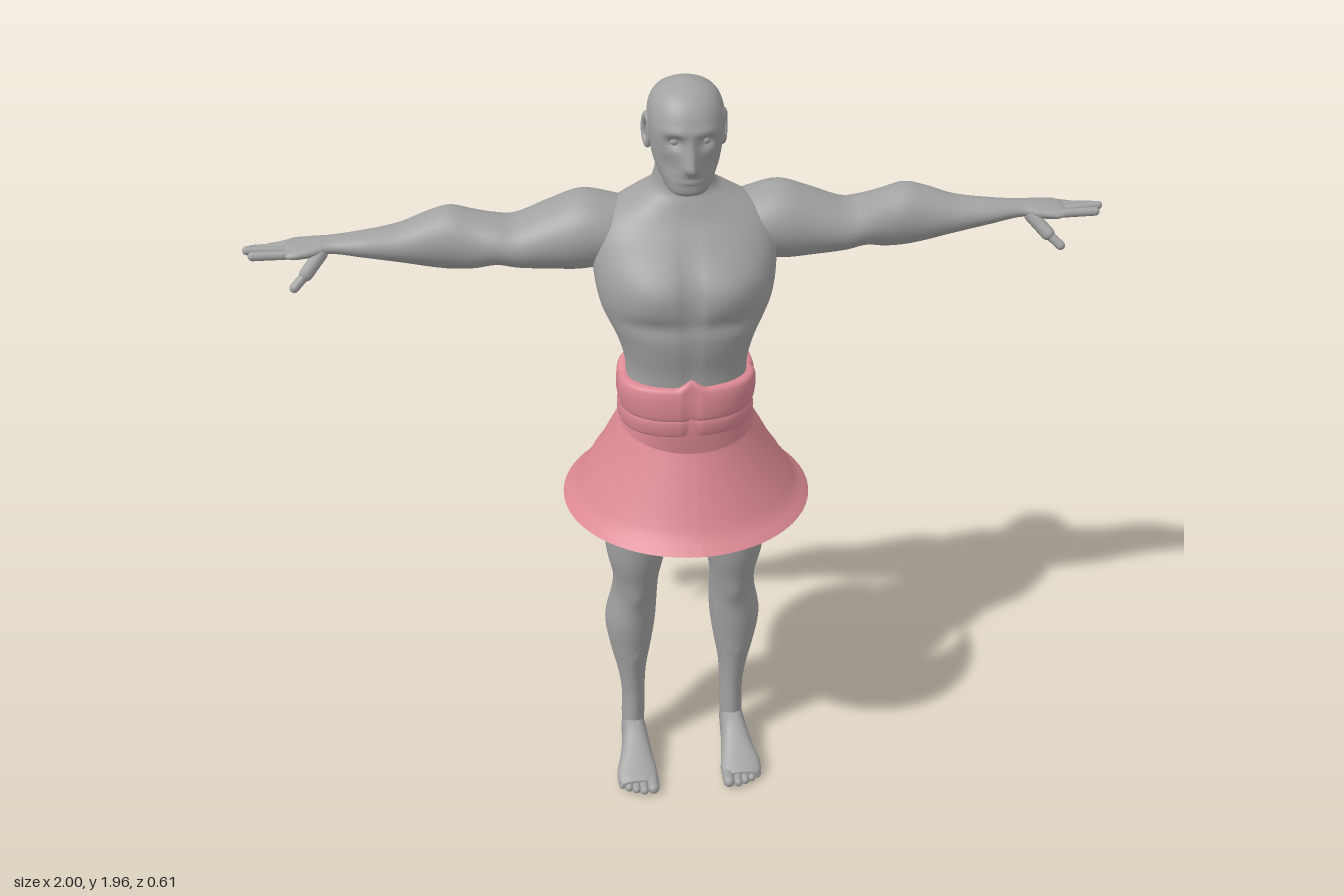
import * as THREE from 'three';

const skin = new THREE.MeshStandardMaterial({ color: 0xa2a2a2 });
skin.name = 'grey skin';
const cloth = new THREE.MeshStandardMaterial({ color: 0xdb8893, side: THREE.DoubleSide });
cloth.name = 'pink cloth';

const bump = (d, w) => Math.exp(-(d * d) / (w * w));

// Catmull-Rom blend of rows of numbers
function smoothRows(rows, steps) {
  const out = [];
  const at = i => rows[Math.max(0, Math.min(rows.length - 1, i))];
  for (let i = 0; i < rows.length - 1; i++) {
    for (let s = 0; s < steps; s++) {
      const t = s / steps;
      out.push(rows[i].map((b, c) => {
        const a = at(i - 1)[c], d = at(i + 1)[c], e = at(i + 2)[c];
        return b + 0.5 * t * (d - a + t * (2 * a - 5 * b + 4 * d - e + t * (3 * (b - d) + e - a)));
      }));
    }
  }
  out.push(rows[rows.length - 1]);
  return out;
}

// Closed loft: each row is [t, uMin, uMax, vMin, vMax]; axes gives the letters of u, v and t
function loft(rows, axes, { seg = 48, steps = 6, power = 2, side = 1, shape } = {}) {
  const rings = smoothRows(rows, steps), pos = [], idx = [], p = new THREE.Vector3();
  const put = (u, v, t) => {
    p[axes[0]] = u; p[axes[1]] = v; p[axes[2]] = t;
    if (shape) shape(p);
    pos.push(p.x * side, p.y, p.z);
  };
  const curve = c => Math.sign(c) * Math.abs(c) ** (2 / power);
  for (const [t, u0, u1, v0, v1] of rings) {
    for (let j = 0; j < seg; j++) {
      const a = (j / seg) * Math.PI * 2;
      put((u0 + u1) / 2 + (u1 - u0) / 2 * curve(Math.cos(a)),
        (v0 + v1) / 2 + (v1 - v0) / 2 * curve(Math.sin(a)), t);
    }
  }
  const n = rings.length;
  for (const [t, u0, u1, v0, v1] of [rings[0], rings[n - 1]]) put((u0 + u1) / 2, (v0 + v1) / 2, t);
  const flip = (['xyz', 'yzx', 'zxy'].includes(axes) ? 1 : -1) * side < 0;
  const tri = (a, b, c) => flip ? idx.push(a, c, b) : idx.push(a, b, c);
  for (let j = 0; j < seg; j++) {
    const k = (j + 1) % seg;
    for (let i = 0; i < n - 1; i++) {
      const a = i * seg + j, b = i * seg + k;
      tri(a, b, b + seg);
      tri(a, b + seg, a + seg);
    }
    tri(n * seg, k, j);
    tri(n * seg + 1, (n - 1) * seg + j, (n - 1) * seg + k);
  }
  const g = new THREE.BufferGeometry();
  g.setAttribute('position', new THREE.Float32BufferAttribute(pos, 3));
  g.setIndex(idx);
  g.computeVertexNormals();
  return g;
}

// Rows that are symmetric about x = 0: [y, halfWidth, back, front]
const sym = rows => rows.map(([y, h, b, f]) => [y, -h, h, b, f]);

export function createModel() {
  const model = new THREE.Group();
  const add = (name, geo, mat = skin) => {
    const m = new THREE.Mesh(geo, mat);
    m.name = name;
    model.add(m);
    return m;
  };
  // Rounded digit between two points
  const digit = (name, a, b, r, side) => {
    const A = new THREE.Vector3(a[0] * side, a[1], a[2]), B = new THREE.Vector3(b[0] * side, b[1], b[2]);
    const m = add(name, new THREE.CapsuleGeometry(r, A.distanceTo(B), 5, 10));
    m.position.copy(A).add(B).multiplyScalar(0.5);
    m.quaternion.setFromUnitVectors(new THREE.Vector3(0, 1, 0), B.sub(A).normalize());
  };

  // Torso and neck, with chest, midline, spine and shoulder blade relief
  add('torso', loft(sym([
    [1.20, .145, -.09, .10], [1.27, .145, -.10, .105], [1.34, .163, -.125, .12], [1.42, .198, -.15, .127],
    [1.50, .212, -.165, .118], [1.58, .212, -.172, .075], [1.63, .18, -.168, .043], [1.67, .115, -.15, .025],
    [1.70, .076, -.12, .015], [1.75, .063, -.10, .022], [1.80, .058, -.09, .03],
  ]), 'xzy', { seg: 64, power: 2.25, shape: p => {
    const ax = Math.abs(p.x), y = p.y;
    if (p.z > 0) {
      p.z += .016 * bump(ax - .085, .07) * bump(y - 1.49, .06);
      p.z -= .012 * bump(ax, .014) * bump(y - 1.48, .1) + .01 * bump(y - 1.405, .02) * bump(ax - .09, .09);
      p.z -= .005 * bump(ax, .012) * bump(y - 1.3, .09);
    } else {
      p.z += .024 * bump(ax, .03) * bump(y - 1.42, .17);
      p.z -= .01 * bump(ax - .11, .05) * bump(y - 1.54, .07);
    }
  } }));

  // Head, with eye sockets, brow, nose, lips and chin
  add('head', loft(sym([
    [1.712, .032, .02, .075], [1.722, .046, -.01, .088], [1.745, .06, -.06, .092], [1.78, .074, -.09, .094],
    [1.82, .081, -.106, .096], [1.86, .085, -.113, .1], [1.90, .082, -.108, .088], [1.93, .066, -.085, .065],
    [1.948, .038, -.05, .034], [1.957, .008, -.018, .002],
  ]), 'xzy', { seg: 80, power: 2.2, shape: p => {
    if (p.z < .02) return;
    const ax = Math.abs(p.x), y = p.y, t = (1.858 - y) / .075;
    const nose = t < 0 ? 0 : t < 1 ? t : Math.max(0, 1 - (t - 1) * 5);
    p.z += .028 * nose * bump(ax, .009 + .006 * Math.min(1, Math.max(0, t)));
    p.z -= .017 * bump(ax - .034, .018) * bump(y - 1.843, .014);
    p.z += .005 * bump(ax - .035, .03) * bump(y - 1.866, .009);
    p.z -= .008 * bump(ax - .05, .02) * bump(y - 1.785, .025);
    p.z += bump(ax, .024) * (.006 * bump(y - 1.766, .006) + .005 * bump(y - 1.752, .005) - .004 * bump(y - 1.759, .003));
  } }));

  for (const side of [1, -1]) {
    const tag = side > 0 ? 'left' : 'right';

    // Eyes and ears
    const eye = add(tag + 'Eye', new THREE.SphereGeometry(.012, 16, 12));
    eye.position.set(.034 * side, 1.843, .07);
    const ear = add(tag + 'Ear', new THREE.TorusGeometry(.022, .008, 10, 24));
    ear.scale.set(.75, 1.45, .9);
    ear.rotation.set(0, side * 1.25, 0);
    ear.position.set(.085 * side, 1.838, -.015);
    const lobe = add(tag + 'EarInner', new THREE.SphereGeometry(.02, 14, 10));
    lobe.scale.set(.35, 1.4, .8);
    lobe.position.set(.081 * side, 1.836, -.013);

    // Arm from shoulder to palm
    add(tag + 'Arm', loft([
      [.08, 1.54, 1.63, -.14, -.02], [.16, 1.50, 1.655, -.17, .01], [.23, 1.485, 1.668, -.178, .015],
      [.30, 1.487, 1.645, -.175, .008], [.38, 1.495, 1.614, -.167, 0], [.43, 1.503, 1.617, -.162, -.008],
      [.48, 1.493, 1.628, -.164, -.018], [.53, 1.491, 1.64, -.165, -.025], [.58, 1.5, 1.629, -.158, -.028],
      [.65, 1.52, 1.607, -.138, -.03], [.73, 1.54, 1.598, -.116, -.033], [.80, 1.553, 1.591, -.107, -.042],
      [.84, 1.55, 1.588, -.115, -.032], [.885, 1.55, 1.583, -.122, -.024], [.905, 1.556, 1.578, -.115, -.03],
    ], 'yzx', { side, seg: 40 }));

    // Fingers and thumb
    [[-.112, .955, 1.552], [-.088, .981, 1.563], [-.062, .989, 1.573], [-.036, .975, 1.57]].forEach(([z, x, y], i) =>
      digit(tag + 'Finger' + (i + 1), [.885, 1.567, z * .85 - .01], [x, y, z], .0105, side));
    digit(tag + 'ThumbBase', [.825, 1.562, -.05], [.86, 1.527, -.02], .016, side);
    digit(tag + 'ThumbTip', [.86, 1.527, -.02], [.888, 1.503, -.002], .011, side);

    // Leg from thigh to ankle
    add(tag + 'Leg', loft([
      [.04, .112, .162, -.135, -.05], [.10, .105, .166, -.139, -.045], [.20, .103, .165, -.138, -.042],
      [.28, .098, .176, -.15, -.032], [.36, .085, .193, -.163, -.018], [.45, .073, .204, -.166, -.002],
      [.55, .069, .187, -.14, .012], [.62, .066, .184, -.117, .034], [.70, .05, .199, -.125, .058],
      [.80, .031, .208, -.136, .072], [.90, .022, .21, -.142, .08], [.97, .025, .195, -.15, .075],
    ], 'xzy', { side, shape: p => {
      if (p.z > -.02) p.z += .008 * bump(p.x - .125, .03) * bump(p.y - .57, .035);
      else p.z += .006 * bump(p.x - .135, .015) * bump(p.y - .42, .08);
    } }));

    // Foot and toes
    add(tag + 'Foot', loft([
      [-.15, .128, .145, .015, .035], [-.137, .112, .16, .004, .075], [-.09, .105, .168, 0, .115],
      [-.03, .1, .172, 0, .112], [.02, .094, .182, 0, .083], [.06, .088, .194, 0, .058],
      [.09, .088, .193, .002, .042], [.105, .096, .183, .006, .032],
    ], 'xyz', { side, seg: 36, power: 2.4 }));
    [[.102, .12, .016], [.127, .122, .012], [.147, .115, .0115], [.166, .106, .011], [.183, .094, .0105]].forEach(
      ([x, z, r], i) => digit(tag + 'Toe' + (i + 1), [x, .022, .07], [x, r + .002, z], r, side));

    // Short leg with a ragged hem
    add(tag + 'ShortLeg', loft([
      [.885, .018, .217, -.15, .088], [.92, .012, .215, -.158, .09], [.97, .006, .205, -.172, .09],
      [1.03, .01, .185, -.17, .085],
    ], 'xzy', { side, shape: p => {
      if (p.y < .91) p.y += .013 * Math.sin(Math.atan2(p.z + .03, p.x - .115) * 5 + side);
    } }), cloth);
  }

  // Seat of the shorts
  add('shortsSeat', loft(sym([
    [.95, .13, -.12, .05], [.975, .178, -.165, .08], [1.02, .185, -.185, .097], [1.08, .168, -.18, .106],
    [1.13, .156, -.155, .11], [1.16, .15, -.13, .108],
  ]), 'xzy', { power: 2.3, shape: p => {
    if (p.z < 0) p.z += .025 * bump(p.x, .025) * bump(p.y - 1.01, .08);
  } }), cloth);

  // Two wrapped waist bands with seams and an uneven top edge
  const seam = p => {
    p.z -= Math.sign(p.z) * .008 * bump(p.x, .006);
    p.x -= Math.sign(p.x) * .006 * bump(p.z, .008);
  };
  add('lowerBand', loft(sym([
    [1.105, .15, -.15, .1], [1.113, .162, -.163, .11], [1.14, .164, -.155, .115], [1.157, .16, -.142, .112],
    [1.163, .148, -.13, .1],
  ]), 'xzy', { seg: 96, power: 2.4, shape: seam }), cloth);
  add('upperBand', loft(sym([
    [1.15, .148, -.13, .1], [1.157, .161, -.145, .115], [1.2, .167, -.13, .118], [1.232, .163, -.113, .113],
    [1.24, .15, -.1, .1],
  ]), 'xzy', { seg: 96, power: 2.4, shape: p => {
    seam(p);
    if (p.y > 1.22) p.y += p.z > 0 ? .022 * Math.max(0, 1 - Math.abs(p.x) / .03) : .02 * bump(p.z + .06, .035);
  } }), cloth);

  // Flared open skirt, slightly narrower across at the top
  const profile = [[.303, .897], [.288, .912], [.272, .925], [.262, .945], [.25, .965], [.241, .99], [.226, 1.02],
    [.211, 1.06], [.2, 1.085], [.19, 1.113]].map(([r, y]) => new THREE.Vector2(r, y));
  const skirt = new THREE.LatheGeometry(profile, 64);
  const sp = skirt.attributes.position;
  for (let i = 0; i < sp.count; i++) {
    sp.setX(i, sp.getX(i) * (1 - .14 * Math.max(0, (sp.getY(i) - .95) / .163)));
  }
  skirt.computeVertexNormals();
  add('skirt', skirt, cloth);

  return model;
}
